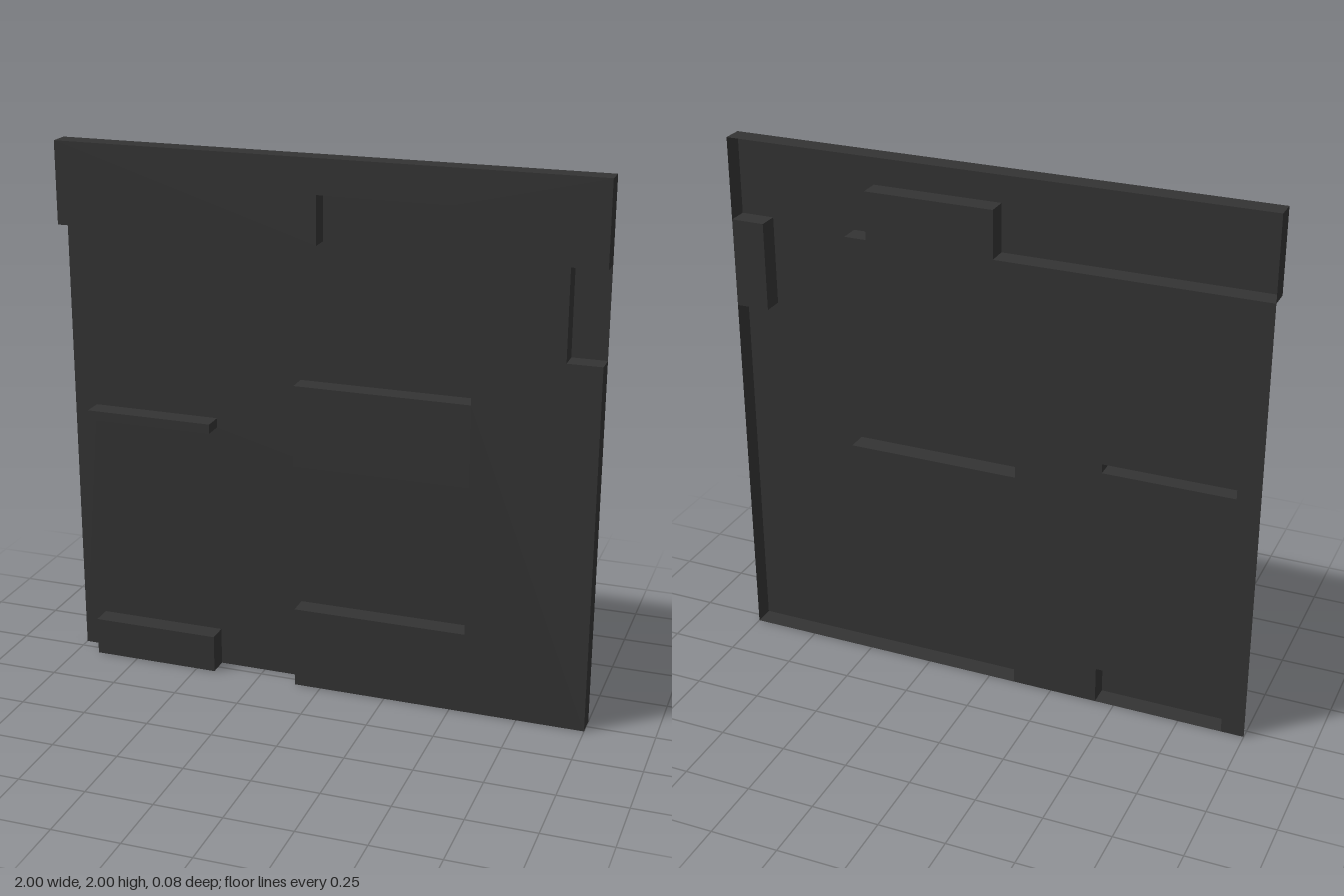
import * as THREE from 'three';

const BACK = -0.038, FRONT = 0.038;
const material = new THREE.MeshStandardMaterial({ color: 0x333333, side: THREE.DoubleSide });

const rect = (x0, y0, x1, y1) => [[x0, y0], [x1, y0], [x1, y1], [x0, y1]];
const toPoints = (outline) => outline.map(([x, y]) => new THREE.Vector2(x, y));

// Flat sheet at depth z
function sheet(name, outline, z, holes = []) {
  const shape = new THREE.Shape(toPoints(outline));
  for (const hole of holes) shape.holes.push(new THREE.Path(toPoints(hole)));
  const mesh = new THREE.Mesh(new THREE.ShapeGeometry(shape), material);
  mesh.name = name;
  mesh.position.z = z;
  return mesh;
}

// Side walls joining the back level to the front level along a counter-clockwise outline
function walls(name, outline) {
  const position = [];
  outline.forEach(([ax, ay], i) => {
    const [bx, by] = outline[(i + 1) % outline.length];
    position.push(
      ax, ay, BACK, bx, by, BACK, bx, by, FRONT,
      ax, ay, BACK, bx, by, FRONT, ax, ay, FRONT,
    );
  });
  const geometry = new THREE.BufferGeometry();
  geometry.setAttribute('position', new THREE.Float32BufferAttribute(position, 3));
  geometry.computeVertexNormals();
  const mesh = new THREE.Mesh(geometry, material);
  mesh.name = name;
  return mesh;
}

// Raised, open-backed part
function raised(name, outline) {
  const group = new THREE.Group();
  group.name = name;
  group.add(sheet(name + 'Face', outline, FRONT), walls(name + 'Walls', outline));
  return group;
}

export function createModel() {
  const model = new THREE.Group();
  model.name = 'reliefPanel';

  // Stepped edge shared by the frame and the recessed panel, bottom to top
  const step = [
    [-0.1, 0], [-0.1, 0.31], [0.55, 0.31], [0.55, 0.876], [-0.1, 0.876], [-0.1, 1.18],
    [0.55, 1.18], [0.55, 1.695], [0.467, 1.695], [0.467, 1.873], [-0.014, 1.873],
    [-0.014, 1.695], [-1, 1.695],
  ];
  const notch = rect(0.875, 1.364, 1, 1.695);
  const ledge = rect(-0.914, 0.962, -0.427, 0.997);
  const foot = rect(-0.914, 0, -0.427, 0.143);

  // Raised parts
  model.add(raised('frame', [
    ...step.slice(0, 1), [1, 0],
    notch[1], notch[0], notch[3], notch[2],
    [1, 2], [-1, 2],
    ...step.slice(1).reverse(),
  ]));
  model.add(raised('ledge', ledge));
  model.add(raised('footBlock', foot));

  // Recessed sheets
  model.add(sheet('backPanel', [
    [-1, 0], foot[0], foot[3], foot[2], foot[1], ...step,
  ], BACK, [ledge]));
  model.add(sheet('notchPanel', notch, BACK));

  return model;
}
